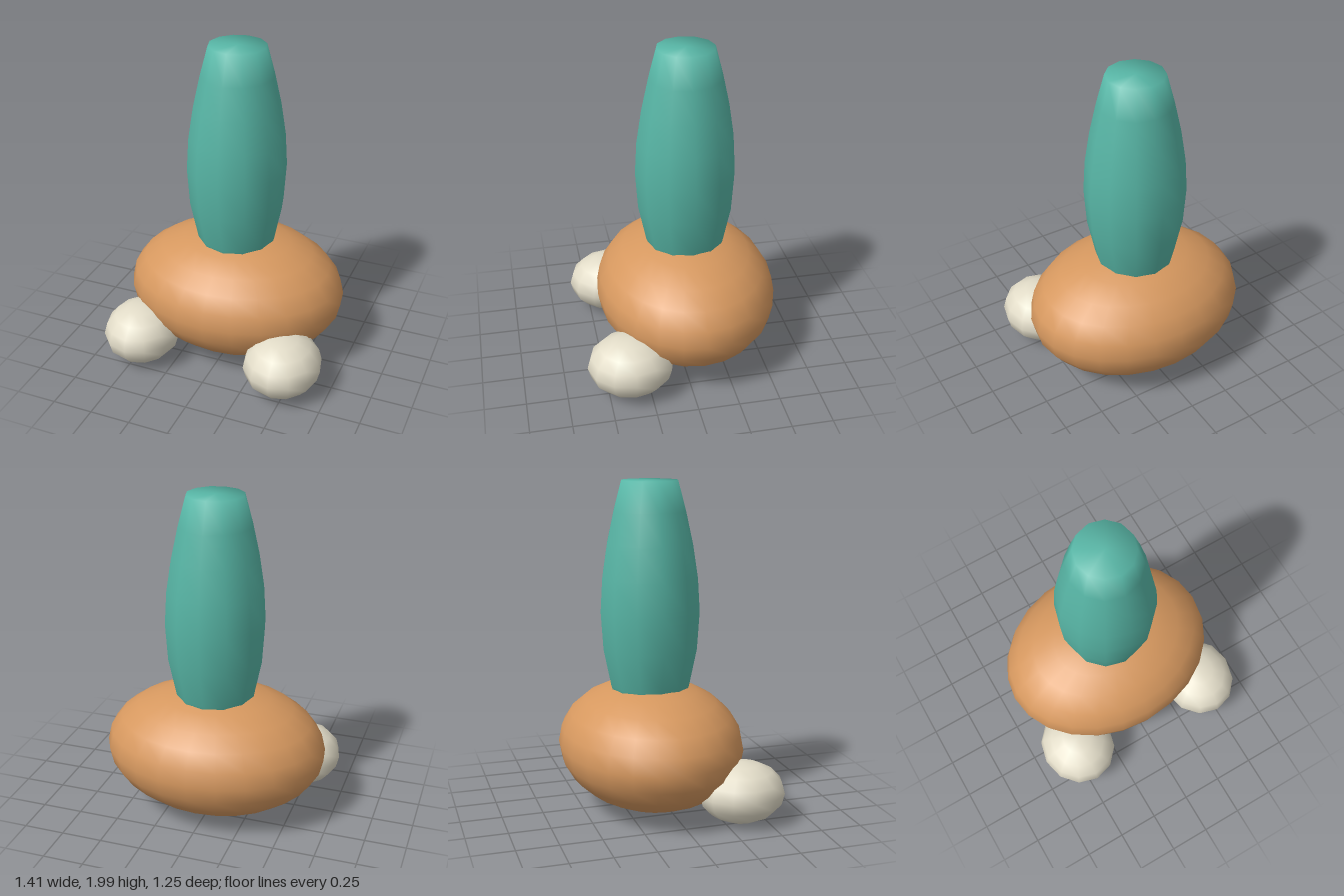
import * as THREE from 'three';

export function createModel() {
  const model = new THREE.Group();
  const mat = (name, color) => {
    const m = new THREE.MeshStandardMaterial({ color });
    m.name = name;
    return m;
  };
  const tan = mat('tan', 0xd6985f);
  const teal = mat('teal', 0x57b5a5);
  const cream = mat('cream', 0xe2dcc8);

  const add = (name, geometry, material, x, y, z) => {
    const mesh = new THREE.Mesh(geometry, material);
    mesh.name = name;
    mesh.position.set(x, y, z);
    model.add(mesh);
    return mesh;
  };
  const ellipsoid = (rx, ry, rz, w, h) => new THREE.SphereGeometry(1, w, h).scale(rx, ry, rz);

  // Wide squashed body
  const centreZ = -0.068;
  add('body', ellipsoid(0.69, 0.39, 0.557, 24, 12), tan, 0, 0.4, centreZ);

  // Tall neck: swollen in the middle, softly shaded flat tip, foot sunk into the body
  const profile = [
    [0, 0.62], [0.19, 0.62], [0.243, 0.77], [0.29, 1.0], [0.305, 1.23],
    [0.293, 1.43], [0.262, 1.63], [0.22, 1.82], [0.172, 2], [0, 2],
  ].map(([r, y]) => new THREE.Vector2(r, y));
  add('neck', new THREE.LatheGeometry(profile, 12), teal, 0, 0, centreZ);

  // Pair of round feet at the front
  for (const [name, side] of [['leftFoot', 1], ['rightFoot', -1]]) {
    add(name, ellipsoid(0.237, 0.184, 0.263, 12, 8), cream, side * 0.467, 0.192, 0.358);
  }

  return model;
}
